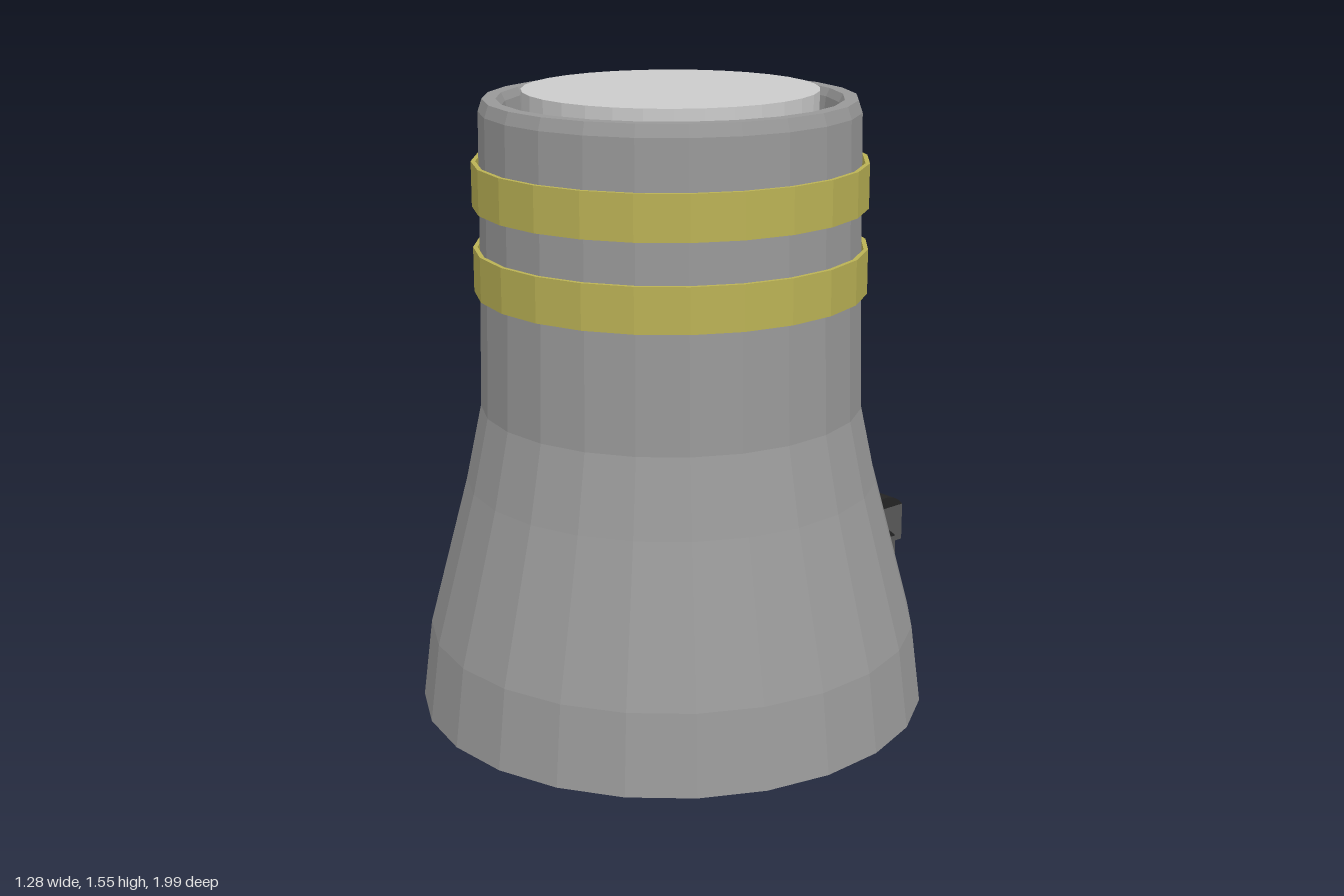
import * as THREE from 'three';

const SIDES = 24;
const mat = (color, flatShading = true) => new THREE.MeshStandardMaterial({ color, flatShading });
const concrete = mat(0x999999);
const steam = mat(0xcccccc);
const yellow = mat(0xbbb255);
const wallMat = mat(0x585858);
const roofMat = mat(0x242424);

function add(parent, name, geometry, material) {
  const mesh = new THREE.Mesh(geometry, material);
  mesh.name = name;
  parent.add(mesh);
  return mesh;
}

const lathe = (points, sides = SIDES) =>
  new THREE.LatheGeometry(points.map(([r, y]) => new THREE.Vector2(r, y)), sides);

// Box hall with a barrel roof, long axis along z, centred on its own origin
function hall(name, width, length, wallHeight, rise) {
  const group = new THREE.Group();
  group.name = name;
  const walls = add(group, name + 'Walls', new THREE.BoxGeometry(width, wallHeight, length), wallMat);
  walls.position.y = wallHeight / 2;

  const half = width / 2;
  const radius = (half * half + rise * rise) / (2 * rise);
  const spread = Math.asin(half / radius);
  const shape = new THREE.Shape();
  shape.absarc(0, rise - radius, radius, Math.PI / 2 - spread, Math.PI / 2 + spread, false);
  shape.closePath();
  const geometry = new THREE.ExtrudeGeometry(shape, { depth: length, bevelEnabled: false, curveSegments: 12 });
  geometry.translate(0, wallHeight, -length / 2);
  add(group, name + 'Roof', geometry, roofMat);
  return group;
}

export function createModel() {
  const model = new THREE.Group();
  model.name = 'coolingTower';

  // Tower with its hollow mouth
  const tower = new THREE.Group();
  tower.name = 'tower';
  tower.position.z = 0.36;
  model.add(tower);
  add(tower, 'towerShell', lathe([
    [0, 0], [0.64, 0], [0.615, 0.2], [0.515, 0.58], [0.475, 0.77], [0.468, 1.06],
    [0.463, 1.5], [0.453, 1.53], [0.42, 1.53], [0.41, 1.51], [0.375, 1.25], [0, 1.25],
  ]), concrete);

  // Pale plug standing in the mouth
  const plug = add(tower, 'mouthPlug', new THREE.CylinderGeometry(0.36, 0.36, 0.3, 32), steam);
  plug.position.y = 1.4;

  // Painted bands
  for (const [name, y] of [['lowerBand', 1.06], ['upperBand', 1.27]]) {
    add(tower, name, lathe([
      [0.472, y], [0.483, y], [0.483, y + 0.11], [0.472, y + 0.11], [0.472, y],
    ]), yellow);
  }

  // Main hall, its front end sunk into the tower
  const main = hall('mainHall', 0.475, 0.86, 0.335, 0.105);
  main.position.set(-0.015, 0, -0.525);
  model.add(main);

  // Small sheds angled along both sides: x, z, turn in degrees
  const sheds = [
    [-0.396, -0.825, -50.5], [-0.396, -0.555, -50.5], [-0.396, -0.285, -50.5],
    [0.37, -0.85, 50], [0.37, -0.57, 46], [0.36, -0.31, 45],
  ];
  sheds.forEach(([x, z, turn], i) => {
    const shed = hall('shed' + (i + 1), 0.15, 0.266, 0.115, 0.035);
    shed.position.set(x, 0, z);
    shed.rotation.y = THREE.MathUtils.degToRad(turn);
    model.add(shed);
  });

  return model;
}
